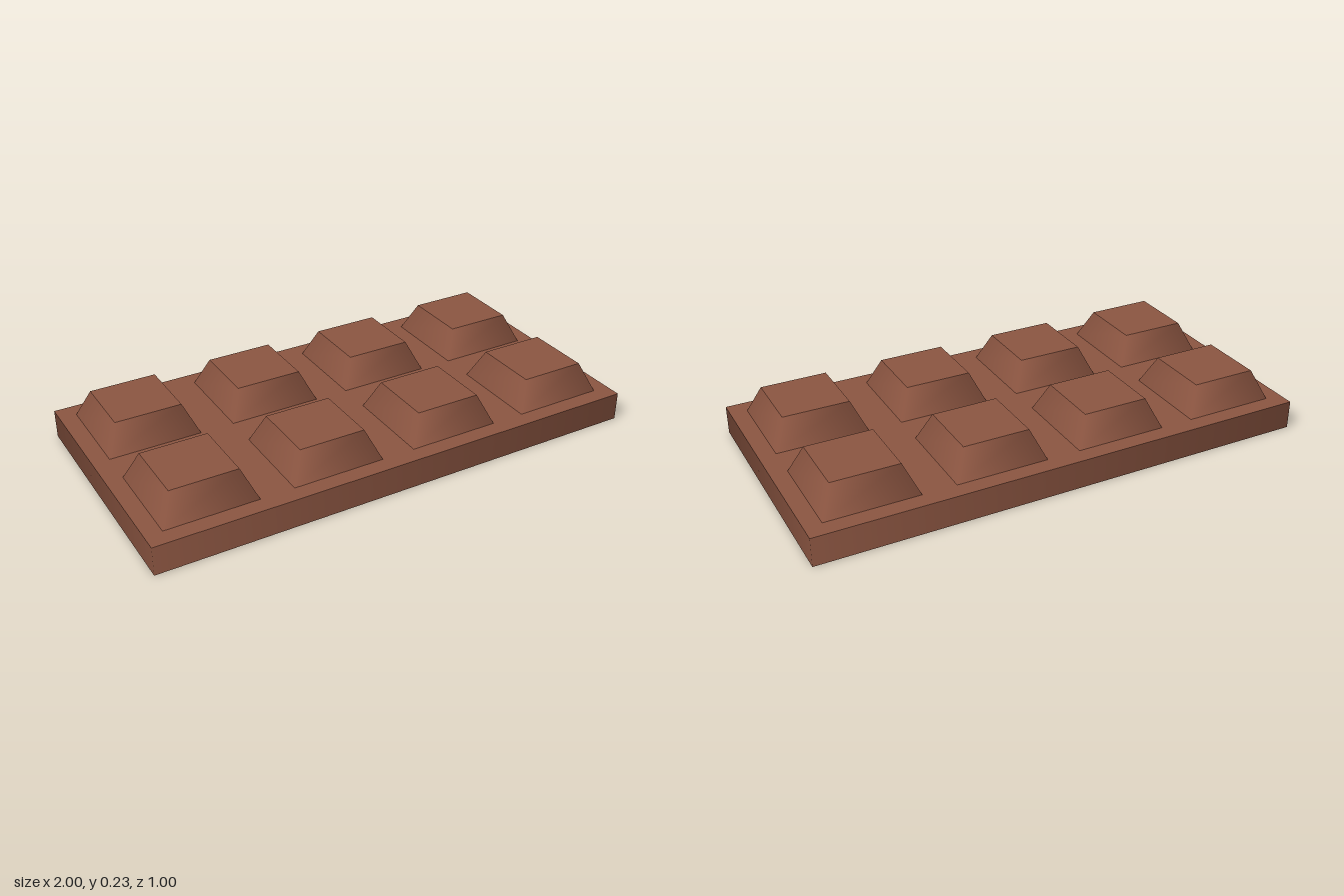
import * as THREE from 'three';

// Four-sided prism with softly shaded walls; half-widths measured to the flat sides
function taperedBlock(topHalf, bottomHalf, height) {
  const geometry = new THREE.CylinderGeometry(topHalf * Math.SQRT2, bottomHalf * Math.SQRT2, height, 4);
  geometry.rotateY(Math.PI / 4);
  return geometry;
}

export function createModel() {
  const model = new THREE.Group();
  model.name = 'chocolateBar';

  const chocolate = new THREE.MeshStandardMaterial({ color: 0x8b5541 });
  chocolate.name = 'milk chocolate';

  const slabHeight = 0.115;
  const pieceHeight = 0.115;

  // Base slab, twice as long as it is deep
  const slab = new THREE.Mesh(taperedBlock(0.5, 0.5, slabHeight).scale(2, 1, 1), chocolate);
  slab.name = 'baseSlab';
  slab.position.y = slabHeight / 2;
  model.add(slab);

  // Raised pieces in two rows of four
  const pieceGeometry = taperedBlock(0.132, 0.183, pieceHeight);
  const pieces = new THREE.Group();
  pieces.name = 'pieces';
  for (let row = 0; row < 2; row++) {
    for (let column = 0; column < 4; column++) {
      const piece = new THREE.Mesh(pieceGeometry, chocolate);
      piece.name = `piece_${row + 1}_${column + 1}`;
      piece.position.set(-0.75 + column * 0.5, slabHeight + pieceHeight / 2, -0.25 + row * 0.5);
      pieces.add(piece);
    }
  }
  model.add(pieces);

  return model;
}
